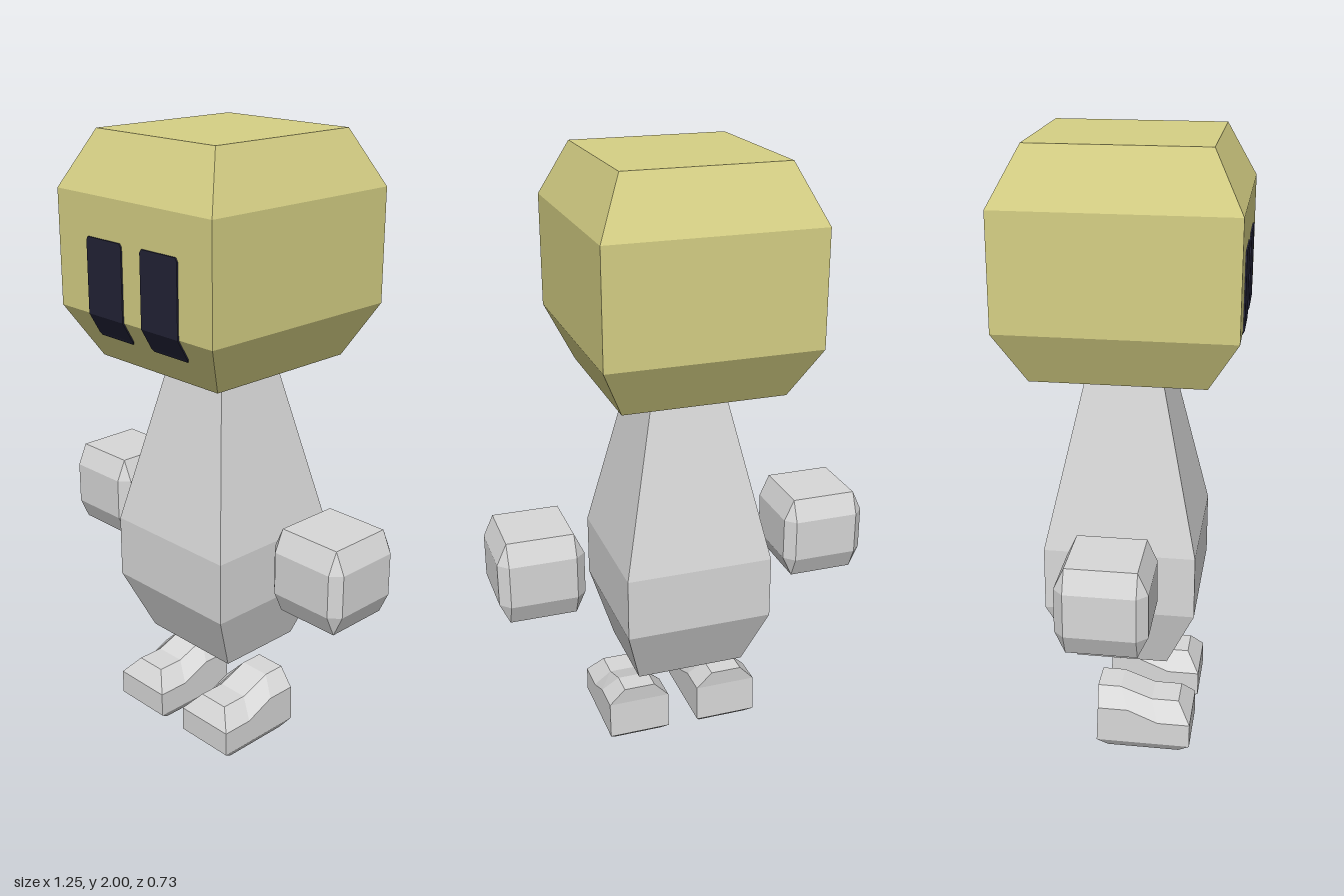
import * as THREE from 'three';

const yellow = new THREE.MeshStandardMaterial({ color: 0xd6d085 });
yellow.name = 'paleYellow';
const grey = new THREE.MeshStandardMaterial({ color: 0xd8d8d8 });
grey.name = 'lightGrey';
const navy = new THREE.MeshStandardMaterial({ color: 0x222236 });
navy.name = 'darkNavy';

// Closed, faceted loft through rings of equal, even point count
function loft(rings) {
  const pos = [];
  const n = rings[0].length;
  const same = (p, q) => p.every((v, i) => Math.abs(v - q[i]) < 1e-6);
  const tri = (a, b, c) => {
    if (!same(a, b) && !same(b, c) && !same(a, c)) pos.push(...a, ...b, ...c);
  };
  const quad = (a, b, c, d) => { tri(a, b, c); tri(a, c, d); };
  for (let i = 0; i < rings.length - 1; i++) {
    const r = rings[i], s = rings[i + 1];
    for (let j = 0; j < n; j++) quad(r[j], r[(j + 1) % n], s[(j + 1) % n], s[j]);
  }
  // End caps are ladders of strips, so they may be bevelled
  const first = rings[0], last = rings[rings.length - 1];
  for (let k = 0; k < n / 2 - 1; k++) {
    const l0 = (n - k) % n, l1 = n - k - 1, r0 = k + 1, r1 = k + 2;
    quad(last[l0], last[r0], last[r1], last[l1]);
    quad(first[l1], first[r1], first[r0], first[l0]);
  }
  const g = new THREE.BufferGeometry();
  g.setAttribute('position', new THREE.Float32BufferAttribute(pos, 3));
  g.computeVertexNormals();
  return g;
}

// Rectangular ring at height y
const rect = (y, hx, hz, z = 0) =>
  [[-hx, y, z + hz], [hx, y, z + hz], [hx, y, z - hz], [-hx, y, z - hz]];

// Eight-point ring: outer half size o, inner half size i
const octagon = (y, o, i) => [
  [-i, y, o], [i, y, o], [o, y, i], [o, y, -i],
  [i, y, -o], [-i, y, -o], [-o, y, -i], [-o, y, i],
];

// Foot cross-section, with its own z at each level
const footRing = (zBottom, zMid, zShoulder, yShoulder, zTop, yTop) => [
  [-0.085, 0, zBottom], [0.085, 0, zBottom],
  [0.105, 0.03, zMid], [0.105, yShoulder, zShoulder],
  [0.053, yTop, zTop], [-0.053, yTop, zTop],
  [-0.105, yShoulder, zShoulder], [-0.105, 0.03, zMid],
];

export function createModel() {
  const model = new THREE.Group();
  const add = (name, geometry, material, x = 0, y = 0, z = 0) => {
    const mesh = new THREE.Mesh(geometry, material);
    mesh.name = name;
    mesh.position.set(x, y, z);
    model.add(mesh);
  };

  add('head', loft([
    rect(1.297, 0.26, 0.27), rect(1.463, 0.338, 0.364),
    rect(1.825, 0.338, 0.364), rect(2, 0.256, 0.273),
  ]), yellow);

  add('body', loft([
    rect(0.305, 0.182, 0.15), rect(0.515, 0.242, 0.242),
    rect(0.722, 0.242, 0.242), rect(1.275, 0.12, 0.12),
  ]), grey);

  const handGeometry = loft([
    octagon(-0.14, 0.108, 0.108), octagon(-0.07, 0.14, 0.108),
    octagon(0.07, 0.14, 0.108), octagon(0.14, 0.108, 0.108),
  ]);

  // Stepped shoe, from heel to toe
  const footGeometry = loft([
    footRing(-0.04, -0.075, -0.07, 0.155, -0.076, 0.212),
    footRing(0.02, 0.03, 0.03, 0.155, 0, 0.212),
    footRing(0.12, 0.13, 0.13, 0.113, 0.105, 0.173),
    footRing(0.2, 0.237, 0.237, 0.113, 0.195, 0.173),
  ]);

  // Thin eye plate that folds under with the face
  const eyeGeometry = loft([
    rect(1.388, 0.072, 0.004, 0.322), rect(1.398, 0.079, 0.004, 0.327),
    rect(1.463, 0.079, 0.004, 0.364), rect(1.69, 0.079, 0.004, 0.364),
    rect(1.7, 0.072, 0.004, 0.364),
  ]);

  for (const [side, s] of [['left', 1], ['right', -1]]) {
    add(side + 'Eye', eyeGeometry, navy, s * 0.121, 0, 0.001);
    add(side + 'Hand', handGeometry, grey, s * 0.485, 0.711, 0);
    add(side + 'Foot', footGeometry, grey, s * 0.158, 0, 0);
  }
  return model;
}
